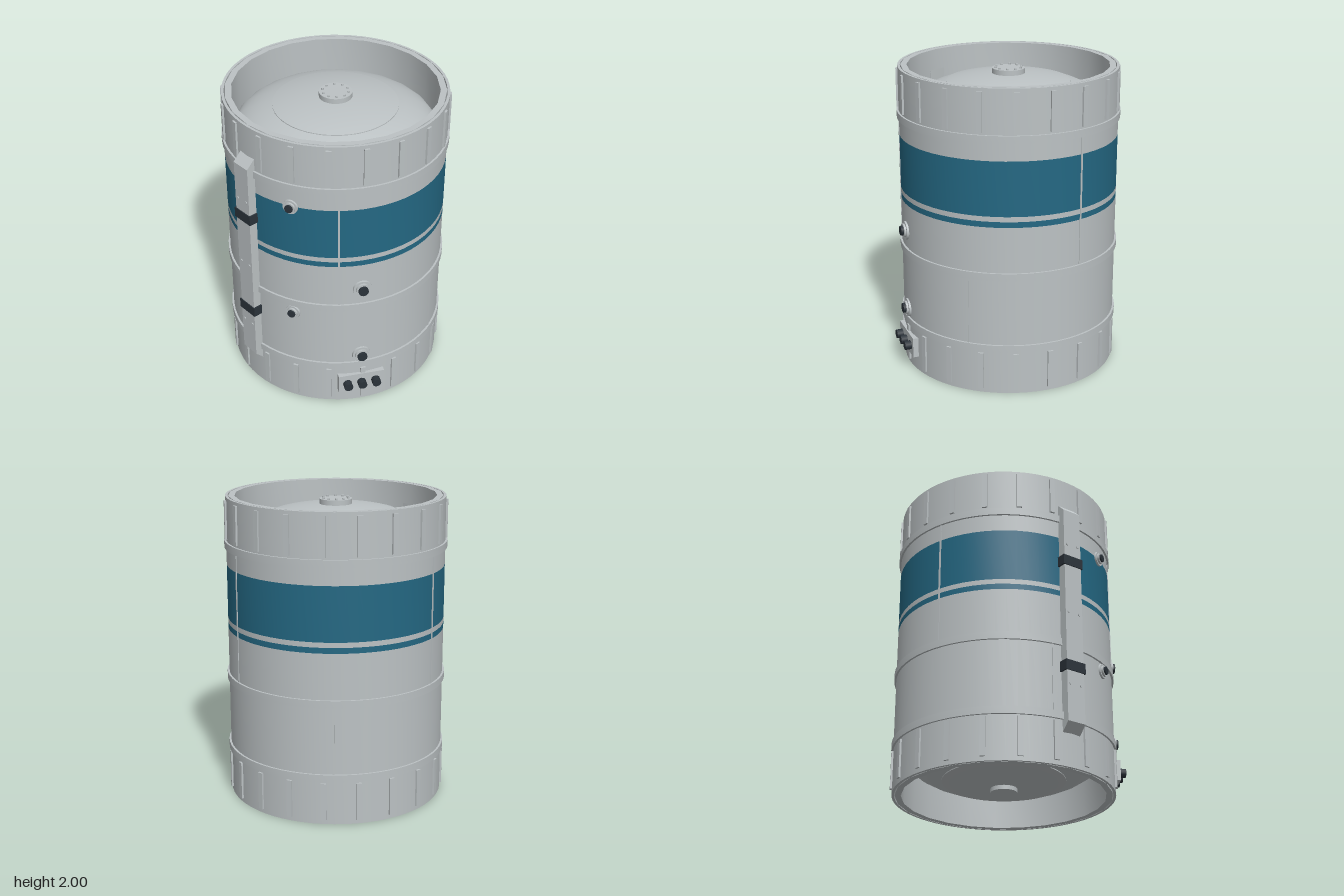
import * as THREE from 'three';
import { toCreasedNormals } from 'three/addons/utils/BufferGeometryUtils.js';

const material = (name, color) => {
  const m = new THREE.MeshStandardMaterial({ color });
  m.name = name;
  return m;
};

export function createModel() {
  const grey = material('paintedMetal', 0xbcc2c4);
  const blue = material('blueStripe', 0x246883);
  const dark = material('darkFittings', 0x2b333a);
  const R = 0.714;

  const model = new THREE.Group();
  model.name = 'tankSection';
  const drum = new THREE.Group();
  drum.name = 'drum';
  drum.position.set(-0.004, 0, -0.022);
  model.add(drum);

  const add = (parent, name, geo, mat, x = 0, y = 0, z = 0) => {
    const mesh = new THREE.Mesh(geo, mat);
    mesh.name = name;
    mesh.position.set(x, y, z);
    parent.add(mesh);
    return mesh;
  };
  // revolved profile, listed from bottom to top along its outside
  const lathe = (points, sides) => toCreasedNormals(
    new THREE.LatheGeometry(points.map(p => new THREE.Vector2(...p)), sides), 0.5);
  const tube = (ri, ro, y0, y1, sides = 64) =>
    lathe([[ri, y0], [ro, y0], [ro, y1], [ri, y1], [ri, y0]], sides);
  // group whose +z points outward at an angle (degrees from the front)
  const outward = (name, degrees, y) => {
    const g = new THREE.Group();
    g.name = name;
    g.rotation.y = THREE.MathUtils.degToRad(degrees);
    g.position.y = y;
    drum.add(g);
    return g;
  };
  // cylinder with its axis along z, from z0 to z1
  const peg = (parent, name, r0, r1, z0, z1, mat, x = 0, sides = 20) => {
    const geo = new THREE.CylinderGeometry(r1, r0, z1 - z0, sides).rotateX(Math.PI / 2);
    return add(parent, name, geo, mat, x, 0, (z0 + z1) / 2);
  };

  // outer shell in painted bands
  const bands = [[0, 1.13, grey], [1.13, 1.167, blue], [1.167, 1.2, grey],
    [1.2, 1.553, blue], [1.553, 2, grey]];
  for (const [y0, y1, mat] of bands) {
    add(drum, mat === blue ? 'shellStripe' : 'shell', tube(0.697, R, y0, y1), mat);
  }

  // inner skirt liners
  for (const [y0, y1] of [[0, 0.31], [1.69, 2]]) {
    add(drum, 'skirtLiner', tube(0.655, 0.695, y0, y1, 24), grey);
  }

  // frame rings
  for (const y of [0.315, 0.806, 1.69]) {
    add(drum, 'frameRing', tube(0.7, 0.727, y - 0.024, y + 0.024), grey);
  }

  // elliptical end domes, each with a slightly raised crown
  const domeHeight = r => 0.235 * Math.sqrt(Math.max(0, 1 - (r / 0.656) ** 2));
  const crownEdge = Math.asin(0.4 / 0.656);
  const profile = (a0, a1, lift) => Array.from({ length: 11 }, (_, i) => {
    const r = 0.656 * Math.sin(a0 + (a1 - a0) * i / 10);
    return [Math.max(r, 0), domeHeight(r) + lift];
  });
  const outer = profile(Math.PI / 2, crownEdge, 0);
  const crown = [[0.4, domeHeight(0.4) - 0.004], ...profile(crownEdge, 0, 0.005)];
  const flip = pts => pts.map(([r, y]) => [r, -y]).reverse();
  add(drum, 'topDome', lathe(outer, 24), grey, 0, 1.7);
  add(drum, 'topDomeCrown', lathe(crown, 48), grey, 0, 1.7);
  add(drum, 'bottomDome', lathe(flip(outer), 24), grey, 0, 0.3);
  add(drum, 'bottomDomeCrown', lathe(flip(crown), 48), grey, 0, 0.3);

  // hatch covers and bolts
  add(drum, 'topHatch', new THREE.CylinderGeometry(0.106, 0.106, 0.05, 32), grey, 0, 1.945);
  for (let i = 0; i < 10; i++) {
    const a = (i + 0.5) * Math.PI / 5;
    add(drum, 'hatchBolt', new THREE.CylinderGeometry(0.008, 0.008, 0.012, 8), grey,
      0.084 * Math.sin(a), 1.974, 0.084 * Math.cos(a));
  }
  add(drum, 'bottomHatch', new THREE.CylinderGeometry(0.087, 0.087, 0.05, 32), grey, 0, 0.06);

  // skirt stringers
  for (let i = 0; i < 20; i++) {
    for (const y of [0.153, 1.853]) {
      const g = outward('stringer', 9 + 18 * i, y);
      add(g, 'stringerBar', new THREE.BoxGeometry(0.034, 0.25, 0.022), grey, 0, 0, 0.715);
    }
  }

  // vertical panel seams, staggered between the two bays
  for (let i = 0; i < 3; i++) {
    const upper = outward('upperSeam', 50 + 120 * i, 1.248);
    add(upper, 'seamStrip', new THREE.BoxGeometry(0.012, 0.836, 0.008), grey, 0, 0, R);
    const lower = outward('lowerSeam', -10 + 120 * i, 0.56);
    add(lower, 'seamStrip', new THREE.BoxGeometry(0.012, 0.443, 0.008), grey, 0, 0, R);
  }

  // cable conduit with sloped ends, drawn in side profile (z, y)
  const side = new THREE.Shape([[0.62, 0.14], [0.745, 0.27], [0.745, 1.74], [0.62, 1.865]]
    .map(p => new THREE.Vector2(...p)));
  const conduitGeo = new THREE.ExtrudeGeometry(side, { depth: 0.13, bevelEnabled: false })
    .rotateY(-Math.PI / 2);
  const conduit = new THREE.Group();
  conduit.name = 'conduit';
  conduit.position.x = -0.005;
  model.add(conduit);
  add(conduit, 'conduitCover', conduitGeo, grey, 0.065);
  for (const y of [0.637, 1.37]) {
    add(conduit, 'conduitClamp', new THREE.BoxGeometry(0.15, 0.068, 0.08), dark, 0, y, 0.711);
  }
  for (const y of [0.517, 1.003, 1.49]) {
    for (const x of [-0.04, 0.04]) {
      peg(conduit, 'conduitRivet', 0.011, 0.011, 0.735, 0.75, grey, x, 10).position.y = y;
    }
  }

  // service ports: flange, boss and dark plug
  const ports = [[26, 1.55, 0.8], [26, 0.73, 0.8], [62, 0.946, 1], [62, 0.397, 1]];
  for (const [angle, y, s] of ports) {
    const g = outward('servicePort', angle, y);
    peg(g, 'portFlange', 0.064 * s, 0.06 * s, 0.69, 0.725, grey, 0, 24);
    peg(g, 'portBoss', 0.045 * s, 0.045 * s, 0.71, 0.738, grey, 0, 24);
    peg(g, 'portPlug', 0.033 * s, 0.033 * s, 0.72, 0.73 + 0.024 * s, dark, 0, 12);
  }

  // connector panel
  const panel = outward('connectorPanel', 62, 0.167);
  add(panel, 'connectorPlate', new THREE.BoxGeometry(0.31, 0.135, 0.05), grey, 0, 0, 0.708);
  for (const x of [-0.096, 0, 0.096]) {
    peg(panel, 'connector', 0.03, 0.03, 0.725, 0.776, dark, x, 12);
  }

  return model;
}
